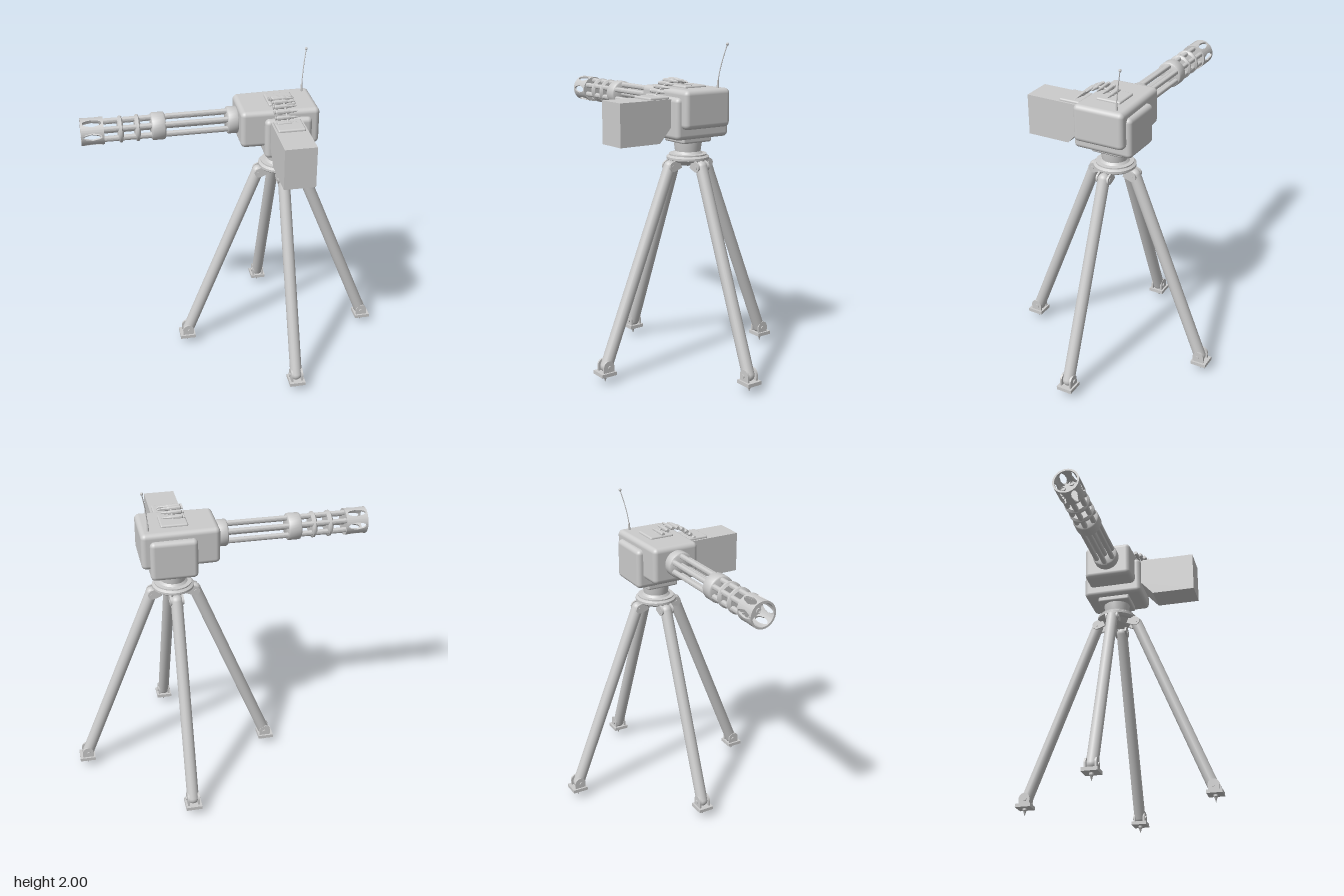
import * as THREE from 'three';
import { toCreasedNormals } from 'three/addons/utils/BufferGeometryUtils.js';
import { RoundedBoxGeometry } from 'three/addons/geometries/RoundedBoxGeometry.js';

const MAT = new THREE.MeshStandardMaterial({ color: 0xcccccc });
const CX = 0.27;      // mount axis
const AXIS_Y = 1.63;  // barrel axis height

function add(parent, name, geo, x = 0, y = 0, z = 0) {
  const m = new THREE.Mesh(geo, MAT);
  m.name = name;
  m.position.set(x, y, z);
  parent.add(m);
  return m;
}

const rbox = (w, h, d, r) => new RoundedBoxGeometry(w, h, d, 4, r);

// Turned part from [radius, height] pairs, bottom to top
function lathe(pts, seg = 32) {
  return toCreasedNormals(new THREE.LatheGeometry(pts.map(p => new THREE.Vector2(...p)), seg), 0.6);
}
// The same with its axis along +x
const latheX = (pts, seg) => lathe(pts, seg).rotateZ(-Math.PI / 2);

// Round bar between two points
function bar(a, b, r, seg = 20) {
  const d = b.clone().sub(a);
  const g = new THREE.CylinderGeometry(r, r, d.length(), seg);
  g.applyQuaternion(new THREE.Quaternion().setFromUnitVectors(new THREE.Vector3(0, 1, 0), d.normalize()));
  return g.translate((a.x + b.x) / 2, (a.y + b.y) / 2, (a.z + b.z) / 2);
}

// Hollow ring along x with elliptical slots, made as two halves that meet between the slots
function slottedRing(half, ro, ri, slots, slotLen, slotAngle, s) {
  const N = slots * 24, pos = [];
  const section = i => {
    const t = (i / N) * Math.PI * 2, step = Math.PI * 2 / slots;
    const u = (((t / step) % 1) - 0.5) * step / slotAngle;
    const h = s * slotLen * Math.sqrt(Math.max(0, 1 - u * u));
    const c = Math.cos(t), n = Math.sin(t);
    return [[s * half, ro], [h, ro], [h, ri], [s * half, ri]].map(([x, r]) => [x, r * c, r * n]);
  };
  for (let i = 0; i < N; i++) {
    const A = section(i), B = section(i + 1);
    for (let k = 0; k < 4; k++) {
      const l = (k + 1) % 4;
      const q = s > 0 ? [A[k], A[l], B[l], A[k], B[l], B[k]] : [A[k], B[l], A[l], A[k], B[k], B[l]];
      pos.push(...q.flat());
    }
  }
  const g = new THREE.BufferGeometry();
  g.setAttribute('position', new THREE.Float32BufferAttribute(pos, 3));
  g.computeVertexNormals();
  return toCreasedNormals(g, 0.6);
}

// Upright lug with a round top, thick along z
function lug(w, h, t) {
  const s = new THREE.Shape();
  s.moveTo(-w, 0);
  s.lineTo(w, 0);
  s.lineTo(w, h);
  s.absarc(0, h, w, 0, Math.PI, false);
  s.closePath();
  return new THREE.ExtrudeGeometry(s, { depth: t, bevelEnabled: false, curveSegments: 12 }).translate(0, 0, -t / 2);
}

// One leg with hinges and foot, reaching out along +x
function makeLeg() {
  const leg = new THREE.Group();
  leg.name = 'leg';
  const top = new THREE.Vector3(0.135, 1.265, 0), low = new THREE.Vector3(0.6, 0.1, 0);
  add(leg, 'legTube', bar(top, low, 0.037));
  for (const p of [top, low]) {
    add(leg, 'legEnd', new THREE.SphereGeometry(0.037, 20, 14), p.x, p.y, p.z);
    add(leg, 'hingePin', new THREE.CylinderGeometry(0.012, 0.012, 0.09, 12).rotateX(Math.PI / 2), p.x, p.y, p.z);
  }
  for (const s of [-1, 1]) {
    add(leg, 'footLug', lug(0.036, 0.035, 0.012), 0.605, 0.07, s * 0.032);
    add(leg, 'hipLug', lug(0.03, 0.05, 0.012).rotateZ(-1.95), 0.085, 1.285, s * 0.036);
  }
  add(leg, 'footPlate', new THREE.BoxGeometry(0.1, 0.022, 0.1), 0.61, 0.06, 0);
  add(leg, 'footSpike', lathe([[0, 0], [0.01, 0.032], [0.014, 0.036], [0.014, 0.055]], 12), 0.61, 0, 0);
  return leg;
}

function makeBarrels() {
  const g = new THREE.Group();
  g.name = 'barrelCluster';
  g.position.y = AXIS_Y;
  for (let i = 0; i < 6; i++) {
    const a = i * Math.PI / 3;
    add(g, 'barrel', lathe([[0.009, 0], [0.016, 0], [0.016, 0.85], [0.009, 0.85], [0.009, 0]], 14).rotateZ(-Math.PI / 2),
      -0.82, 0.06 * Math.cos(a), 0.06 * Math.sin(a));
  }
  add(g, 'centreShaft', new THREE.CylinderGeometry(0.018, 0.018, 0.82, 14).rotateZ(Math.PI / 2), -0.4, 0, 0);
  // Muzzle shroud
  for (const s of [-1, 1])
    add(g, 'muzzleShroud', slottedRing(0.0675, 0.082, 0.07, 6, 0.056, 0.27, s), -0.867, 0, 0);
  add(g, 'muzzlePlate', new THREE.CylinderGeometry(0.075, 0.075, 0.012, 32).rotateZ(Math.PI / 2), -0.806, 0, 0);
  // Lens-edged spacer discs
  for (const x of [-0.7, -0.6])
    add(g, 'spacerDisc', latheX([[0, -0.016], [0.066, -0.016], [0.08, -0.006], [0.08, 0.006], [0.066, 0.016], [0, 0.016]]), x, 0, 0);
  // Clamping collars
  const collar = (w, r) => latheX([[0, -w], [r - 0.01, -w], [r - 0.003, -w + 0.004], [r, -w + 0.01],
    [r, w - 0.01], [r - 0.003, w - 0.004], [r - 0.01, w], [0, w]]);
  add(g, 'frontCollar', collar(0.042, 0.083), -0.477, 0, 0);
  add(g, 'rearCollar', collar(0.035, 0.082), -0.03, 0, 0);
  return g;
}

function makeBelt() {
  const g = new THREE.Group();
  g.name = 'ammoBelt';
  const path = new THREE.CatmullRomCurve3([[0.27, 1.67], [0.235, 1.695], [0.2, 1.73], [0.16, 1.757], [0.12, 1.775],
    [0.085, 1.78], [0.045, 1.77], [0.01, 1.75], [-0.02, 1.735]].map(([z, y]) => new THREE.Vector3(CX - 0.01, y, z)));
  const round = latheX([[0, -0.072], [0.011, -0.072], [0.011, -0.066], [0.008, -0.062], [0.013, -0.056],
    [0.013, 0.012], [0.008, 0.026], [0.008, 0.04], [0.005, 0.06], [0, 0.073]], 12);
  const pts = path.getSpacedPoints(9);
  pts.forEach((p, i) => {
    add(g, 'cartridge', round, p.x, p.y, p.z);
    if (i) add(g, 'beltLink', bar(pts[i - 1], p, 0.006, 8)).scale.x = 1;
  });
  return g;
}

export function createModel() {
  const model = new THREE.Group();
  model.name = 'tripodGun';

  // Four-legged stand with turned hub
  const stand = new THREE.Group();
  stand.name = 'stand';
  stand.position.x = CX;
  for (let i = 0; i < 4; i++) {
    const leg = makeLeg();
    leg.rotation.y = i * Math.PI / 2;
    stand.add(leg);
  }
  add(stand, 'hub', lathe([[0, 1.265], [0.06, 1.265], [0.09, 1.29], [0.115, 1.29], [0.13, 1.302], [0.13, 1.316],
    [0.115, 1.326], [0.115, 1.334], [0.09, 1.336], [0.078, 1.35], [0.086, 1.405], [0.086, 1.42], [0, 1.42]], 40));
  add(stand, 'swivelPlate', rbox(0.2, 0.04, 0.21, 0.012), 0, 1.427, 0);
  model.add(stand);

  // Receiver, slightly narrower towards the barrels
  const body = rbox(0.475, 0.23, 0.332, 0.03);
  const p = body.attributes.position;
  for (let i = 0; i < p.count; i++) p.setZ(i, p.getZ(i) * (0.955 + 0.19 * p.getX(i) * 0.9));
  add(model, 'receiver', body, 0.2375, 1.62, 0);
  add(model, 'sideHousing', rbox(0.285, 0.25, 0.385, 0.028), 0.2825, 1.565, 0);
  add(model, 'feedCover', rbox(0.165, 0.03, 0.16, 0.01), 0.263, 1.733, 0);

  // Ammunition box with a sloped inner corner
  const s = new THREE.Shape([[-0.545, 1.425], [-0.27, 1.425], [-0.19, 1.515], [-0.19, 1.68], [-0.545, 1.68]]
    .map(q => new THREE.Vector2(...q)));
  add(model, 'ammoBox', new THREE.ExtrudeGeometry(s, { depth: 0.19, bevelEnabled: false }).rotateY(Math.PI / 2), 0.17, 0, 0);
  add(model, 'ammoBoxLid', rbox(0.165, 0.03, 0.14, 0.01), 0.265, 1.68, 0.262);

  model.add(makeBelt(), makeBarrels());

  // Curved aerial
  const aerial = new THREE.CatmullRomCurve3([[0.425, 1.72, -0.102], [0.427, 1.79, -0.105], [0.437, 1.88, -0.12], [0.457, 1.99, -0.145]]
    .map(q => new THREE.Vector3(...q)));
  add(model, 'aerial', new THREE.TubeGeometry(aerial, 20, 0.003, 8));
  add(model, 'aerialBase', new THREE.CylinderGeometry(0.005, 0.008, 0.05, 12), 0.425, 1.755, -0.103);
  add(model, 'aerialTip', new THREE.SphereGeometry(0.009, 12, 10), 0.457, 1.991, -0.145);
  return model;
}
